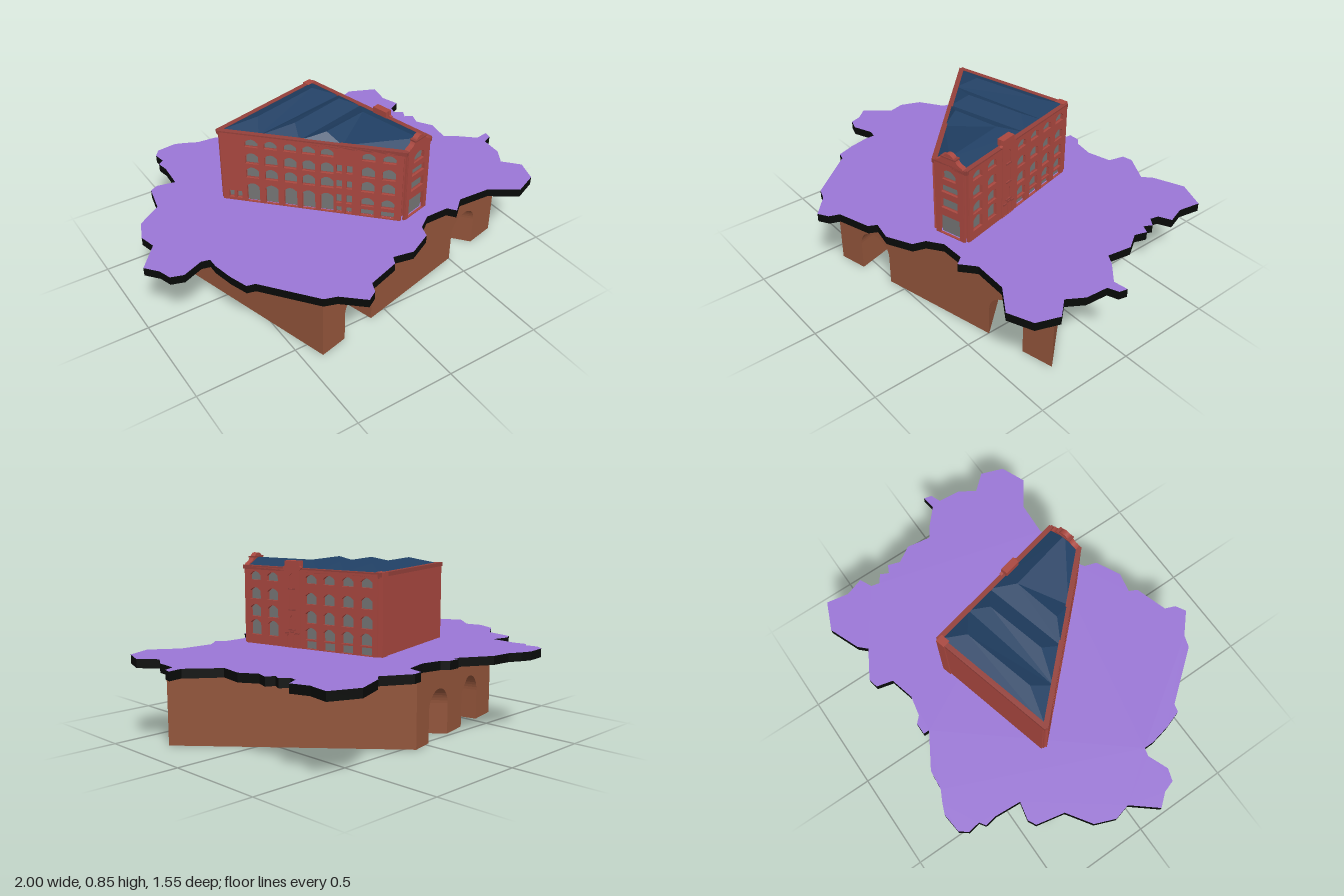
import * as THREE from 'three';

const paint = (color, side = THREE.FrontSide) => new THREE.MeshStandardMaterial({ color, side, flatShading: true });
const brick = paint(0xa9473f), trim = paint(0x94403a), glass = paint(0x747474), slate = paint(0x203f63, THREE.DoubleSide);
const stone = paint(0x92543a), grass = paint(0x9a76d6), black = paint(0x080a08);
const GROUND = 0.41, EAVE = 0.785, RIDGE = 0.825;

// Building corners as [x, z]
const A = [-0.455, -0.22], B = [0.155, -0.375], C = [0.322, 0.362], D = [0.157, 0.405];

// Ragged ground outline in hundredths, x and z in turn
const OUTLINE = [
  -55, -77, -45, -78, -40, -76, -34, -73, -24, -72, -7, -62, -7, -65, -1, -65, 2, -62, 12, -60, 24, -63, 26, -71,
  31, -72, 45, -64, 49, -68, 64, -74, 78, -68, 76, -57, 79, -48, 73, -45, 72, -41, 76, -38, 74, -34, 78, -32,
  76, -26, 81, -18, 79, -6, 84, -3, 93, 5, 100, 4, 99, 8, 94, 10, 93, 21, 88, 29, 95, 37, 91, 48, 79, 53, 66, 44,
  49, 43, 42, 49, 39, 45, 27, 45, 20, 50, 18, 56, 6, 62, -4, 60, -6, 64, -22, 69, -24, 74, -29, 77, -39, 68,
  -45, 66, -64, 42, -68, 41, -71, 32, -73, 22, -73, 17, -77, 16, -87, 20, -93, 18, -95, 12, -100, 6, -90, -6,
  -92, -14, -88, -24, -76, -32, -73, -46, -69, -48, -60, -46, -59, -59, -60, -65, -57, -67, -58, -73];

const lerp2 = (p, q, t) => [p[0] + (q[0] - p[0]) * t, p[1] + (q[1] - p[1]) * t];

function add(parent, name, geometry, material) {
  const mesh = new THREE.Mesh(geometry, material);
  mesh.name = name;
  parent.add(mesh);
  return mesh;
}

function box(parent, name, x0, x1, y0, y1, z0, z1, material = brick) {
  const g = new THREE.BoxGeometry(x1 - x0, y1 - y0, z1 - z0);
  g.translate((x0 + x1) / 2, (y0 + y1) / 2, (z0 + z1) / 2);
  return add(parent, name, g, material);
}

// Upright prism over a plan of [x, z] points
function prism(points, y0, y1) {
  const shape = new THREE.Shape(points.map(p => new THREE.Vector2(p[0], p[1])));
  const g = new THREE.ExtrudeGeometry(shape, { depth: y1 - y0, bevelEnabled: false });
  return g.rotateX(Math.PI / 2).translate(0, y1, 0);
}

// Window outline: [centre, width, bottom, top, rise of arch]
function opening([c, w, b, t, rise = 0], Kind) {
  const s = new Kind(), l = c - w / 2, r = c + w / 2;
  s.moveTo(l, b);
  s.lineTo(r, b);
  s.lineTo(r, t - rise);
  if (rise) s.quadraticCurveTo(c, t + rise, l, t - rise);
  else s.lineTo(l, t);
  s.closePath();
  return s;
}

// Brick panel pierced by windows, with panes and sills
function panel(parent, outline, windows, z0, depth, paneZ) {
  const shape = new THREE.Shape(outline.map(p => new THREE.Vector2(...p)));
  shape.holes = windows.map(w => opening(w, THREE.Path));
  add(parent, 'wallPanel', new THREE.ExtrudeGeometry(shape, { depth, bevelEnabled: false, curveSegments: 6 }), brick);
  for (const w of windows) {
    add(parent, 'windowPane', new THREE.ShapeGeometry(opening(w, THREE.Shape), 6), glass).position.z = paneZ;
    if (w[2] > GROUND + 0.02) {
      box(parent, 'sill', w[0] - w[1] / 2 - 0.004, w[0] + w[1] / 2 + 0.004, w[2] - 0.006, w[2], z0, z0 + depth + 0.004, trim);
    }
  }
}

// One side of the building: local x runs along it, local z points outward
function wall(parent, name, P, Q, windows = [], pilasters = []) {
  const g = new THREE.Group(), dx = Q[0] - P[0], dz = Q[1] - P[1], L = Math.hypot(dx, dz);
  g.name = name;
  g.position.set(P[0], 0, P[1]);
  g.rotation.y = Math.atan2(-dz, dx);
  parent.add(g);
  const scaled = windows.map(([t, ...rest]) => [t * L, ...rest]);
  panel(g, [[0.006, GROUND], [L - 0.006, GROUND], [L - 0.006, EAVE], [0.006, EAVE]], scaled, -0.012, 0.012, -0.005);
  box(g, 'cornice', -0.006, L + 0.006, 0.773, 0.792, -0.012, 0.012, trim);
  box(g, 'corniceBand', 0, L, 0.766, 0.773, -0.006, 0.006, trim);
  for (const t of pilasters) box(g, 'pilaster', t * L - 0.006, t * L + 0.006, GROUND, 0.773, -0.002, 0.008);
  return { g, L };
}

const column = (t, w, rows) => rows.map(([b, top, rise = 0.018]) => [t, w, b, top, rise]);

function arches(parent) {
  // Two tunnels whose positions shift between the front and back faces
  const front = [0, 0.112, 0.256, 0.73, 0.876, 1], back = [0, 0.2, 0.42, 0.61, 0.85, 1];
  const F0 = [-0.41, 0.595], F1 = [0.84, 0.3], K0 = [-0.69, -0.375], K1 = [0.09, -0.545];
  const pts = [[0, 0]];
  for (const i of [1, 3]) {
    const c = (front[i] + front[i + 1]) / 2, r = (front[i + 1] - front[i]) / 2;
    pts.push([front[i], 0]);
    for (let k = 0; k <= 20; k++) {
      const a = Math.PI * (1 - k / 20);
      pts.push([c + r * Math.cos(a), 0.15 + 0.09 * Math.sin(a)]);
    }
    pts.push([front[i + 1], 0]);
  }
  pts.push([1, 0], [1, 0.372], [0, 0.372]);
  const g = new THREE.ExtrudeGeometry(new THREE.Shape(pts.map(p => new THREE.Vector2(...p))), { depth: 1, bevelEnabled: false });
  const remap = s => {
    let i = 0;
    while (i < 4 && s > front[i + 1]) i++;
    return back[i] + (back[i + 1] - back[i]) * (s - front[i]) / (front[i + 1] - front[i]);
  };
  const pos = g.attributes.position;
  for (let i = 0; i < pos.count; i++) {
    const s = pos.getX(i);
    const [x, z] = pos.getZ(i) > 0.5 ? lerp2(F0, F1, s) : lerp2(K0, K1, remap(s));
    pos.setXYZ(i, x, pos.getY(i), z);
  }
  g.computeVertexNormals();
  add(parent, 'archedBase', g, stone);
}

function roof(parent) {
  const L = t => [...lerp2(A, D, t), EAVE], R = t => [...lerp2(B, C, t), EAVE];
  const top = (t, u) => [...lerp2(lerp2(A, D, t), lerp2(B, C, t), u), RIDGE];
  const v = [];
  const face = (...p) => {
    for (let i = 1; i < p.length - 1; i++) for (const q of [p[0], p[i], p[i + 1]]) v.push(q[0], q[2], q[1]);
  };
  // Two hipped ridges across the wedge
  for (const [l0, r0, l1, r1, t] of [[0, 0, 0.22, 0.25, 0.12], [0.22, 0.25, 0.44, 0.44, 0.34]]) {
    const e = top(t, 0.2), f = top(t, 0.84);
    face(L(l0), e, f, R(r0));
    face(L(l1), R(r1), f, e);
    face(L(l0), L(l1), e);
    face(R(r0), f, R(r1));
  }
  // Third ridge turns toward the front gable
  const e = top(0.55, 0.12), q = top(0.56, 0.76), m = top(1, 0.5);
  face(L(0.44), e, q, R(0.44));
  face(L(0.44), L(0.67), e);
  face(e, L(0.67), q);
  face(L(0.67), L(1), m, q);
  face(R(0.44), q, m, R(1));
  const g = new THREE.BufferGeometry();
  g.setAttribute('position', new THREE.Float32BufferAttribute(v, 3));
  g.computeVertexNormals();
  add(parent, 'roof', g, slate);
}

function building(parent) {
  const mid = [0.03, 0.03];
  add(parent, 'core', prism([A, B, C, D].map(p => lerp2(mid, p, 0.95)), GROUND, 0.78), brick);

  // Long left side: arched bays, paired stair windows, two more bays
  const upper = [[0.722, 0.765], [0.63, 0.69], [0.55, 0.61]];
  const left = [];
  for (const t of [0.18, 0.285, 0.39, 0.49, 0.59]) left.push(...column(t, 0.062, [...upper, [0.414, 0.52]]));
  for (const t of [0.655, 0.71]) {
    left.push(...column(t, 0.028, [[0.64, 0.685, 0], [0.555, 0.6, 0], [0.47, 0.52, 0], [0.416, 0.45, 0]]));
  }
  for (const t of [0.81, 0.92]) left.push(...column(t, 0.062, [...upper, [0.47, 0.52], [0.416, 0.452, 0]]));
  left.push([0.055, 0.025, 0.425, 0.465], [0.1, 0.025, 0.425, 0.465]);
  wall(parent, 'leftSide', A, D, left, [0.015, 0.128, 0.232, 0.338, 0.44, 0.54, 0.633, 0.755, 0.865, 0.985]);

  // Long right side with a raised entrance bay
  const right = [];
  for (const t of [0.087, 0.224]) {
    right.push(...column(t, 0.064, [[0.722, 0.765], [0.63, 0.687], [0.545, 0.605], [0.455, 0.53]]));
  }
  for (const t of [0.517, 0.651, 0.784, 0.917]) {
    right.push(...column(t, 0.064, [[0.722, 0.765], [0.625, 0.68], [0.535, 0.595], [0.458, 0.515], [0.413, 0.45, 0]]));
  }
  const r = wall(parent, 'rightSide', C, B, right, [0.012, 0.155, 0.29, 0.45, 0.585, 0.718, 0.85, 0.985]);
  const c = 0.378 * r.L;
  const bay = [...column(c, 0.03, [[0.695, 0.765, 0.015], [0.595, 0.665, 0.0], [0.5, 0.565, 0.015]]),
    [c - 0.018, 0.028, 0.414, 0.475, 0.008], [c + 0.018, 0.028, 0.414, 0.475, 0.008]];
  panel(r.g, [[c - 0.045, GROUND], [c + 0.045, GROUND], [c + 0.045, 0.78], [c + 0.055, 0.795], [c + 0.042, 0.8], [c + 0.04, RIDGE],
    [c - 0.04, RIDGE], [c - 0.042, 0.8], [c - 0.055, 0.795], [c - 0.045, 0.78]], bay, 0, 0.015, 0.004);
  box(r.g, 'bayParapet', c - 0.04, c + 0.04, 0.78, RIDGE, -0.02, 0);
  // Stepped hood over the entrance
  for (const s of [-1, 0, 1]) box(r.g, 'hood', c + s * 0.03 - 0.01, c + s * 0.03 + 0.01, 0.483 - Math.abs(s) * 0.006, 0.49 - Math.abs(s) * 0.006, 0, 0.021, trim);

  // Narrow front with a shaped gable
  const f = wall(parent, 'front', D, C, [[0.5, 0.075, 0.71, 0.762, 0.022], [0.5, 0.092, 0.64, 0.68], [0.5, 0.092, 0.555, 0.608], [0.5, 0.112, 0.414, 0.515]],
    [0.05, 0.95]);
  const h = f.L / 2, gable = new THREE.Shape();
  gable.moveTo(h - 0.085, 0.785);
  gable.lineTo(h + 0.085, 0.785);
  gable.lineTo(h + 0.07, 0.8);
  gable.quadraticCurveTo(h + 0.045, 0.803, h + 0.036, 0.828);
  gable.absarc(h, 0.815, 0.031, 0.42, Math.PI - 0.42, false);
  gable.lineTo(h - 0.036, 0.828);
  gable.quadraticCurveTo(h - 0.045, 0.803, h - 0.07, 0.8);
  add(f.g, 'gable', new THREE.ExtrudeGeometry(gable, { depth: 0.026, bevelEnabled: false, curveSegments: 10 }), brick).position.z = -0.014;
  box(f.g, 'gableMoulding', h - 0.04, h + 0.04, 0.823, 0.83, -0.018, 0.016, trim);
  box(f.g, 'lintel', h - 0.06, h + 0.06, 0.518, 0.528, 0, 0.008, trim);

  // Plain back with a corner pier
  const b = wall(parent, 'back', B, A);
  box(b.g, 'cornerPier', -0.002, 0.045, GROUND, 0.795, -0.02, 0.018);
  box(b.g, 'endPier', b.L - 0.012, b.L, GROUND, 0.78, -0.006, 0.004);
  roof(parent);
}

export function createModel() {
  const model = new THREE.Group();
  model.name = 'wedgeBuildingOnArches';
  const plan = [];
  for (let i = 0; i < OUTLINE.length; i += 2) plan.push([OUTLINE[i] / 100, OUTLINE[i + 1] / 100]);
  add(model, 'groundPlate', prism(plan, 0.368, GROUND), [grass, black]);
  arches(model);
  const house = new THREE.Group();
  house.name = 'building';
  model.add(house);
  building(house);
  return model;
}
